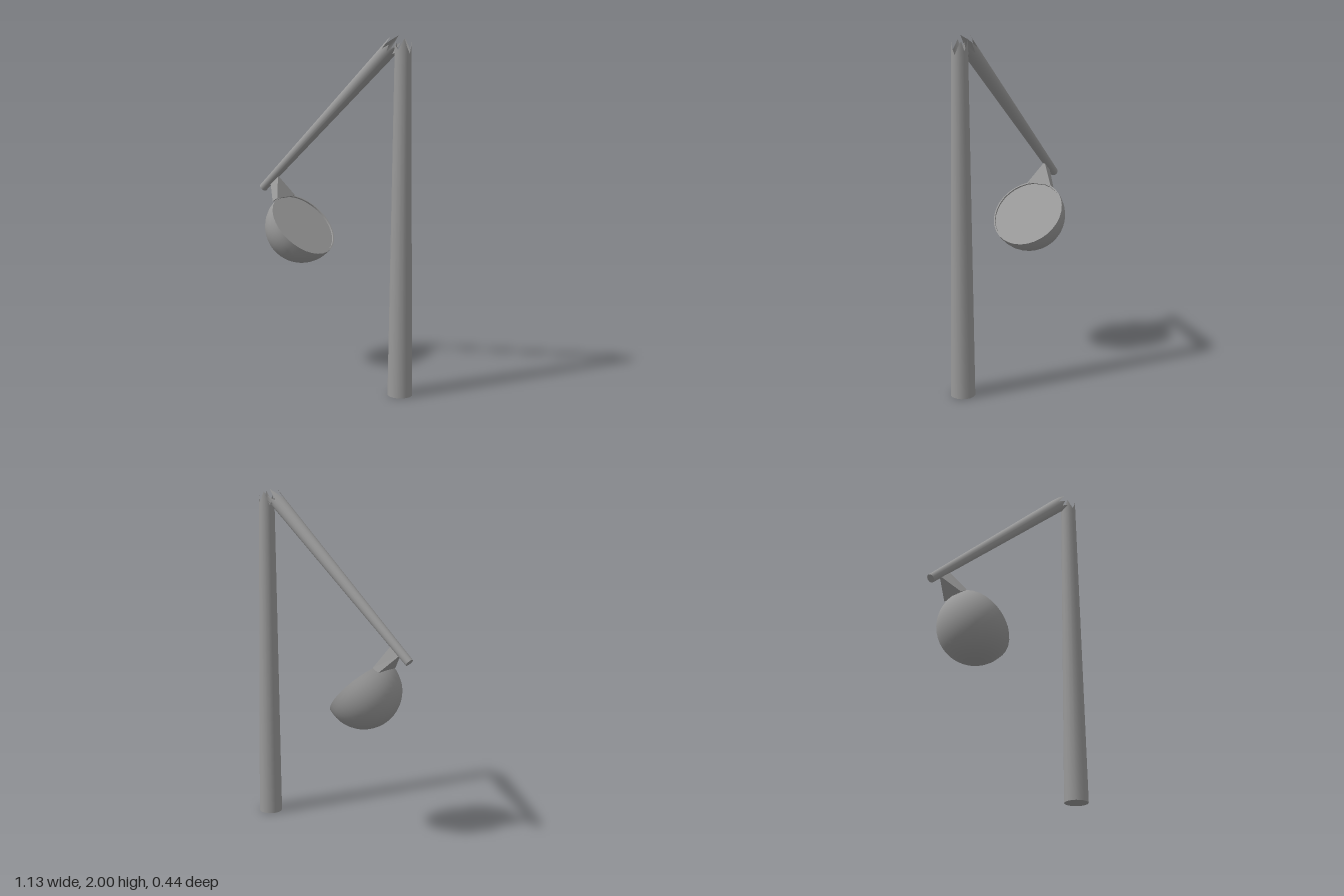
import * as THREE from 'three';

const SIDES = 16;
const grey = new THREE.MeshStandardMaterial({ color: 0x999999, side: THREE.DoubleSide });

function addMesh(parent, name, geometry) {
  const mesh = new THREE.Mesh(geometry, grey);
  mesh.name = name;
  parent.add(mesh);
  return mesh;
}

// Tapered pole standing on its origin; splinters gives the height of each top corner.
function brokenPole(name, rBottom, rTop, length, splinters) {
  const pole = new THREE.Group();
  pole.name = name;
  const wall = new THREE.CylinderGeometry(rTop, rBottom, length, SIDES, 1, true);
  wall.translate(0, length / 2, 0);
  const pos = wall.attributes.position;
  for (let i = 0; i <= SIDES; i++) pos.setY(i, splinters[i % SIDES]);
  addMesh(pole, name + 'Wall', wall);
  addMesh(pole, name + 'Base', new THREE.CircleGeometry(rBottom, SIDES).rotateX(Math.PI / 2));
  return pole;
}

// Solid through two rectangles; each end is [[x, y], [x, y], halfDepth].
function flaredBracket(top, bottom) {
  const corners = ([a, b, d]) => [[...a, d], [...b, d], [...b, -d], [...a, -d]];
  const p = [...corners(bottom), ...corners(top)];
  const quads = [[0, 1, 5, 4], [1, 2, 6, 5], [2, 3, 7, 6], [3, 0, 4, 7], [4, 5, 6, 7], [3, 2, 1, 0]];
  const verts = [];
  for (const [a, b, c, d] of quads) for (const i of [a, b, c, a, c, d]) verts.push(...p[i]);
  const g = new THREE.BufferGeometry();
  g.setAttribute('position', new THREE.Float32BufferAttribute(verts, 3));
  g.computeVertexNormals();
  return g;
}

export function createModel() {
  const model = new THREE.Group();
  model.name = 'brokenLampPost';

  // Upright post, closed just below the splinters
  const post = brokenPole('post', 0.07, 0.045, 1.92, [
    1.92, 1.95, 1.98, 1.93, 1.90, 1.94, 1.97, 1.92,
    1.95, 1.985, 1.94, 1.90, 1.96, 1.93, 1.975, 1.94]);
  const floor = new THREE.CircleGeometry(0.045, SIDES).rotateX(-Math.PI / 2);
  addMesh(post, 'postBreak', floor.translate(0, 1.89, 0));
  post.position.x = 0.495;
  model.add(post);

  // Snapped-off arm leaning away from the top of the post
  const arm = brokenPole('arm', 0.025, 0.044, 1.28, [
    1.30, 1.26, 1.32, 1.27, 1.29, 1.26, 1.31, 1.25,
    1.32, 1.25, 1.34, 1.29, 1.25, 1.29, 1.335, 1.25]);
  arm.position.set(-0.548, 1.095, 0);
  arm.rotation.z = -Math.atan2(0.754, 0.657);
  model.add(arm);

  // Bracket between arm and lamp, a wedge widening toward the lamp
  addMesh(model, 'bracket', flaredBracket(
    [[-0.483, 1.125], [-0.422, 1.17], 0.005],
    [[-0.397, 1.03], [-0.358, 1.053], 0.08]));

  // Lamp: half sphere with a short lip and a recessed flat face
  const lamp = new THREE.Group();
  lamp.name = 'lamp';
  const R = 0.219, lip = 0.022, inner = 0.211, depth = 0.01;
  const bowl = [];
  for (let i = 0; i <= 14; i++) {
    const a = (i / 14) * Math.PI / 2;
    bowl.push(new THREE.Vector2(R * Math.sin(a), -R * Math.cos(a)));
  }
  bowl.push(new THREE.Vector2(R, lip));
  addMesh(lamp, 'lampBowl', new THREE.LatheGeometry(bowl, 32));
  const ring = new THREE.RingGeometry(inner, R, 32).rotateX(-Math.PI / 2);
  addMesh(lamp, 'lampRim', ring.translate(0, lip, 0));
  const recess = new THREE.CylinderGeometry(inner, inner, depth, 32, 1, true);
  addMesh(lamp, 'lampRecess', recess.translate(0, lip - depth / 2, 0));
  const face = new THREE.CircleGeometry(inner, 32).rotateX(-Math.PI / 2);
  addMesh(lamp, 'lampFace', face.translate(0, lip - depth, 0));
  lamp.position.set(-0.236, 0.887, 0);
  lamp.rotation.z = -Math.atan2(0.73, 0.68);
  model.add(lamp);

  return model;
}
